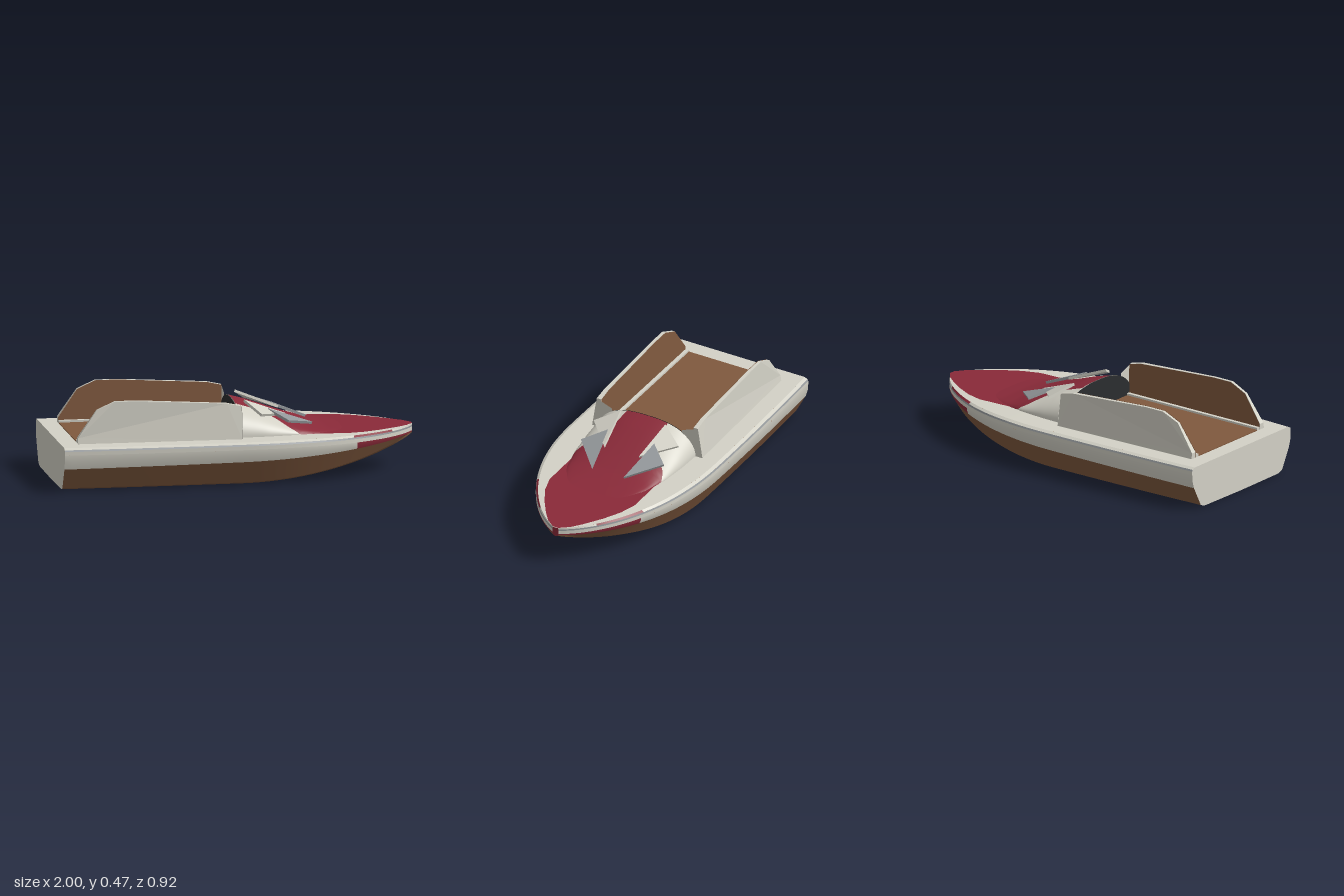
import * as THREE from 'three';

const mat = (name, color) => new THREE.MeshStandardMaterial({ name, color, side: THREE.DoubleSide });
const lerp = THREE.MathUtils.lerp;

// Piecewise-linear lookup through [x, value] pairs
function table(pairs, x) {
  for (let i = 1; i < pairs.length; i++) {
    const [x0, y0] = pairs[i - 1], [x1, y1] = pairs[i];
    if (x <= x1) return lerp(y0, y1, Math.max(0, (x - x0) / (x1 - x0)));
  }
  return pairs[pairs.length - 1][1];
}

// Smooth sheet from a point function of u and v
function sheet(fn, nu, nv) {
  const pos = [], idx = [];
  for (let i = 0; i <= nu; i++) {
    for (let j = 0; j <= nv; j++) pos.push(...fn(i / nu, j / nv));
  }
  for (let i = 0; i < nu; i++) {
    for (let j = 0; j < nv; j++) {
      const a = i * (nv + 1) + j, b = a + nv + 1;
      idx.push(a, b, a + 1, b, b + 1, a + 1);
    }
  }
  const g = new THREE.BufferGeometry();
  g.setAttribute('position', new THREE.Float32BufferAttribute(pos, 3));
  g.setIndex(idx);
  g.computeVertexNormals();
  return g;
}

// Hull lines along x
const beam = x => x < 0 ? 0.46 - 0.025 * x * x
  : Math.max(0.018, 0.46 * Math.pow(Math.max(0, 1 - Math.pow(x, 2.3)), 0.75));
const keel = x => x < 0 ? 0 : 0.18 * Math.pow(x, 1.9);
const deckY = x => 0.248 - (x > 0.3 ? 0.014 * (x - 0.3) / 0.7 : 0);
const waterline = x => x < 0 ? 0.13 + 0.01 * (x + 1) : 0.14 + 0.05 * Math.pow(x, 1.4);

// Half cross-section as [z, y], from keel over the rim to the deck centre
function section(x) {
  const w = beam(x), k = keel(x), d = deckY(x), wl = waterline(x);
  return [
    [0, k], [w * 0.75, k + 0.003], [w * 0.825, Math.min(k + 0.015, wl - 0.003)], [w * 0.965, wl],
    [w * 0.995, lerp(wl, d - 0.038, 0.55)], [w, d - 0.038], [w, d - 0.018],
    [w * 0.99, d - 0.009], [w * 0.95, d], [0, d],
  ];
}

// Cowl lines: height, half width and edge of its red centre (fraction of width)
const cowlH = x => table([[0, 0.165], [0.1, 0.137], [0.2, 0.1], [0.3, 0.062], [0.4, 0.03], [0.5, 0.012], [0.62, 0.001]], x);
const cowlW = x => table([[0, 0.305], [0.15, 0.3], [0.3, 0.285], [0.45, 0.25], [0.62, 0.16]], x);
const cowlRed = x => table([[0, 0.42], [0.12, 0.48], [0.2, 0.62], [0.28, 0.9], [0.33, 1], [0.62, 1]], x);
function cowlPoint(x, a) {
  const s = Math.min(1, Math.abs(a));
  return [x, deckY(x) + cowlH(x) * Math.pow(1 - Math.pow(s, 2.6), 0.5), a * cowlW(x)];
}
const deckRed = x => Math.min(beam(x) * 0.95,
  table([[0.2, 0.25], [0.3, 0.268], [0.6, 0.268], [0.7, 0.238], [0.8, 0.185], [0.9, 0.118], [0.96, 0.07], [1, 0.02]], x));

export function createModel() {
  const model = new THREE.Group();
  model.name = 'boat';
  const cream = mat('cream', 0xd3d1c6), brown = mat('brown', 0x80593e), red = mat('deep red', 0x8a2a39),
    grey = mat('grey', 0x94989b), dark = mat('charcoal', 0x2b2d2f);

  const add = (name, geo, material, parent = model) => {
    const m = new THREE.Mesh(geo, material);
    m.name = name;
    parent.add(m);
    return m;
  };

  // Hull bands, each running between two rows of the cross-section
  const hull = new THREE.Group();
  hull.name = 'hull';
  model.add(hull);
  const band = (name, rows, material, x0, x1, side) => {
    const n = rows.length - 1;
    add(name, sheet((u, v) => {
      const s = Math.asin(Math.max(0, x0)) / (Math.PI / 2);
      let x = lerp(x0, x1, u);
      if (x1 === 1) {
        // Stations crowd together toward the bow
        const cut = x0 < 0 ? 0.2 : 0;
        x = u < cut ? lerp(x0, 0, u / cut) : Math.sin(lerp(s, 1, (u - cut) / (1 - cut)) * Math.PI / 2);
      }
      const [z, y] = section(x)[rows[Math.round(v * n)]];
      return [x, y, z * side];
    }, 40, n), material, hull);
  };
  for (const side of [1, -1]) {
    band('bottom', [0, 1], brown, -1, 1, side);
    band('chine', [1, 2], brown, -1, 1, side);
    band('lowerSide', [2, 3], brown, -1, 1, side);
    band('upperSide', [3, 4, 5], cream, -1, 0.64, side);
    band('bowSidePatch', [3, 4, 5], red, 0.64, 1, side);
    band('rubStrip', [5, 6], cream, -1, 1, side);
    band('rimLine', [6, 7], grey, -1, 1, side);
    band('rim', [7, 8], cream, -1, 0.62, side);
    band('rimPatch', [7, 8], red, 0.62, 0.86, side);
    band('bowRim', [7, 8], cream, 0.86, 1, side);
    band('deck', [8, 9], cream, -1, 1, side);
  }

  // Flat ends closing the stern and the bow
  for (const [name, x, m] of [['transom', -1, cream], ['stem', 1, red]]) {
    const half = section(x);
    const outline = [...half, ...half.slice(1, -1).reverse().map(([z, y]) => [-z, y])];
    const g = new THREE.ShapeGeometry(new THREE.Shape(outline.map(p => new THREE.Vector2(...p))));
    g.rotateY(-Math.PI / 2).translate(x, 0, 0);
    add(name, g, m, hull);
  }

  // Red foredeck panel lying on the deck
  add('foredeckPanel', sheet((u, v) => {
    const x = lerp(0.28, 1, u);
    return [x, deckY(x) + 0.003, (v * 2 - 1) * deckRed(x)];
  }, 36, 4), red);

  // Cowl: red centre with cream shoulders
  const cowlSheet = (lo, hi) => sheet((u, v) => {
    const x = u * 0.62;
    return cowlPoint(x, Math.sin(lerp(Math.asin(lo(x)), Math.asin(hi(x)), v)));
  }, 32, 16);
  add('cowlCentre', cowlSheet(x => -cowlRed(x), cowlRed), red);
  add('cowlShoulder', cowlSheet(cowlRed, () => 1), cream);
  add('cowlShoulder', cowlSheet(() => -1, x => -cowlRed(x)), cream);

  // Dark dashboard closing the back of the cowl
  add('dashboard', sheet((u, v) => {
    const p = cowlPoint(0, Math.sin((v - 0.5) * Math.PI));
    return [-0.004, lerp(0.248, p[1], u), p[2]];
  }, 1, 28), dark);

  // Cockpit floor
  const floor = new THREE.BoxGeometry(0.9, 0.008, 0.52);
  add('cockpitFloor', floor, brown).position.set(-0.455, 0.249, 0);

  // Side walls with a brown lining
  const wallShape = new THREE.Shape([
    [-0.905, 0.245], [-0.905, 0.28], [-0.8, 0.43], [-0.7, 0.475], [-0.58, 0.475],
    [-0.3, 0.457], [-0.08, 0.443], [0, 0.425], [0, 0.245],
  ].map(p => new THREE.Vector2(...p)));
  const outerZ = (x, y) => 0.346 - 0.16 * (y - 0.25) - 0.14 * Math.max(0, -0.72 - x);
  const innerZ = y => 0.284 + 0.04 * (y - 0.25);

  // Places a flat triangle of given thickness, mirrored by side
  const blade = (pts, side) => {
    const [a, b, c] = pts.map(p => new THREE.Vector3(p[0], p[1], p[2] * side));
    const n = b.clone().sub(a).cross(c.clone().sub(a)).normalize().multiplyScalar(0.007);
    const tops = [a, b, c].map(p => p.clone().add(n)), lows = [a, b, c].map(p => p.clone().sub(n));
    const tris = [...tops, lows[0], lows[2], lows[1]];
    for (let i = 0; i < 3; i++) {
      const j = (i + 1) % 3;
      tris.push(lows[i], lows[j], tops[j], lows[i], tops[j], tops[i]);
    }
    const g = new THREE.BufferGeometry().setFromPoints(tris);
    g.computeVertexNormals();
    return g;
  };

  for (const side of [1, -1]) {
    const wall = new THREE.ExtrudeGeometry(wallShape, { depth: 1, bevelEnabled: false });
    const p = wall.attributes.position;
    for (let i = 0; i < p.count; i++) {
      p.setZ(i, side * lerp(innerZ(p.getY(i)), outerZ(p.getX(i), p.getY(i)), p.getZ(i)));
    }
    wall.computeVertexNormals();
    add('sideWall', wall, cream);

    const lining = new THREE.ShapeGeometry(wallShape);
    const q = lining.attributes.position;
    for (let i = 0; i < q.count; i++) q.setZ(i, side * (innerZ(q.getY(i)) - 0.003));
    lining.computeVertexNormals();
    add('wallLining', lining, brown);

    // Rail along the foot of the wall
    add('footRail', new THREE.BoxGeometry(0.9, 0.018, 0.02), cream).position.set(-0.455, 0.255, side * 0.27);

    // Gusset joining the wall to the cowl
    const gusset = new THREE.Shape([[0.345, 0.246], [0.315, 0.425], [0.22, 0.39], [0.2, 0.246]]
      .map(([z, y]) => new THREE.Vector2(z * side, y)));
    add('wallGusset', new THREE.ShapeGeometry(gusset).rotateY(-Math.PI / 2).translate(0.003, 0, 0), cream);

    // Pointed blades on the cowl
    add('rearBlade', blade([[0.12, 0.36, 0.265], [0.045, 0.42, 0.14], [0.28, 0.33, 0.108]], side), cream);
    add('frontBlade', blade([[0.27, 0.32, 0.26], [0.175, 0.368, 0.145], [0.43, 0.275, 0.1]], side), grey);
  }
  return model;
}
